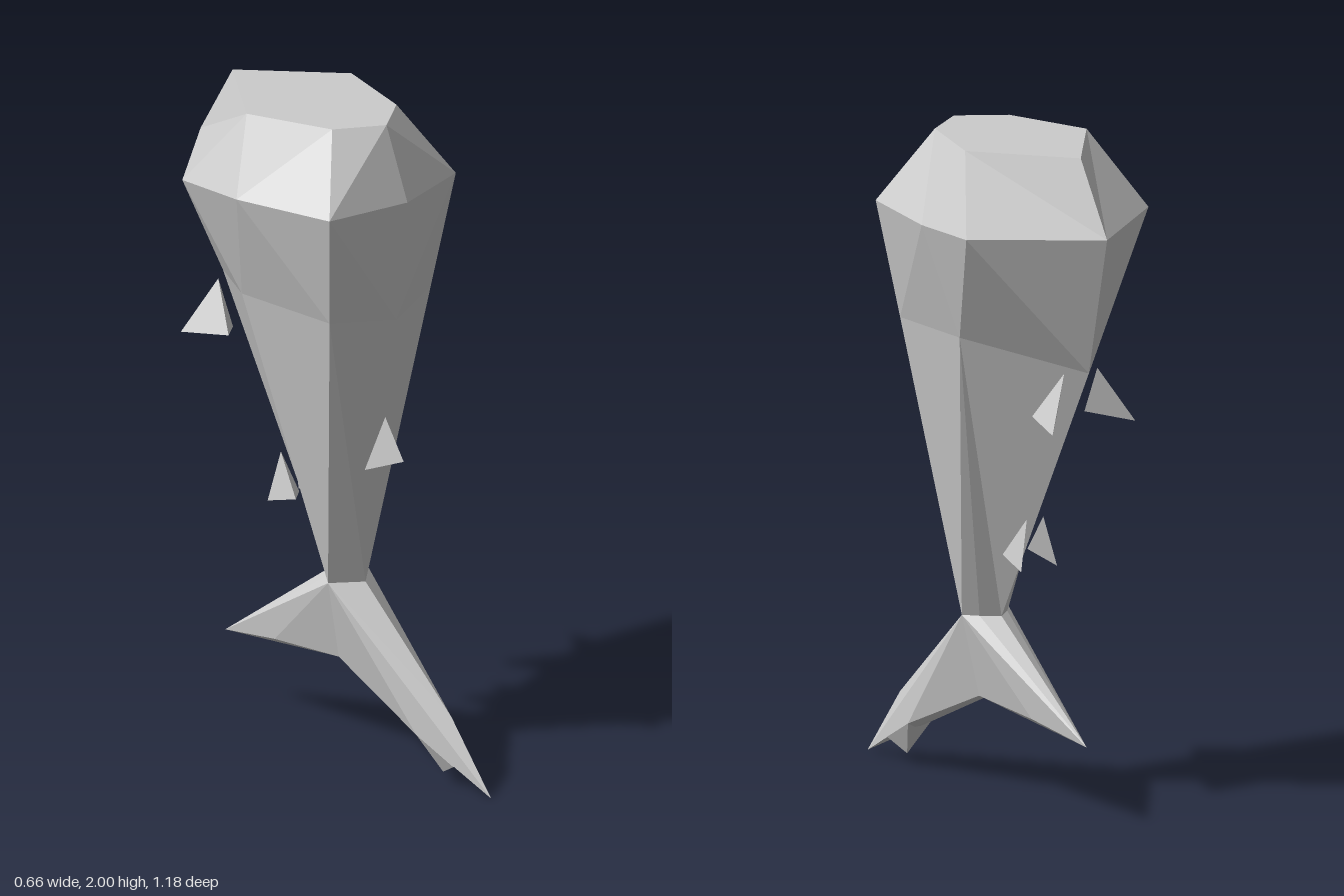
import * as THREE from 'three';
import { ConvexGeometry } from 'three/addons/geometries/ConvexGeometry.js';

const material = new THREE.MeshStandardMaterial({ color: 0xcccccc, flatShading: true, side: THREE.DoubleSide });

function addMesh(group, name, geometry) {
  const mesh = new THREE.Mesh(geometry, material);
  mesh.name = name;
  group.add(mesh);
}

// Faceted solid around a few corners; corners off the centre plane can be mirrored
function hull(points, mirror = false) {
  const all = [];
  for (const [x, y, z] of points) {
    all.push(new THREE.Vector3(x, y, z));
    if (mirror && x !== 0) all.push(new THREE.Vector3(-x, y, z));
  }
  return new ConvexGeometry(all);
}

// Half cross-sections, running from the front ridge round the side to the back ridge
const rings = [
  [[0, 2, 0.165], [0.135, 2, 0.075], [0.22, 2, -0.19], [0.22, 2, -0.19], [0, 2, -0.46]],
  [[0, 1.78, 0.25], [0.265, 1.78, 0.19], [0.33, 1.78, -0.125], [0.33, 1.78, -0.345], [0, 1.78, -0.59]],
  [[0, 1.4, 0.205], [0.213, 1.43, 0.14], [0.24, 1.44, -0.19], [0.24, 1.44, -0.19], [0, 1.36, -0.5]],
  [[0, 0.54, 0.08], [0.085, 0.54, 0.01], [0.05, 0.54, -0.03], [0.05, 0.54, -0.03], [0, 0.54, -0.07]],
];

function bodyGeometry() {
  const positions = [];
  const tri = (a, b, c) => {
    if (a === b || b === c || a === c) return;
    positions.push(...a, ...b, ...c);
    for (const [x, y, z] of [a, c, b]) positions.push(-x, y, z);
  };
  for (let i = 0; i < rings.length - 1; i++) {
    const up = rings[i], low = rings[i + 1];
    for (let j = 0; j < 4; j++) {
      if (i === 0 || j === 3) {
        tri(up[j], low[j], low[j + 1]);
        tri(up[j], low[j + 1], up[j + 1]);
      } else {
        tri(up[j], low[j], up[j + 1]);
        tri(up[j + 1], low[j], low[j + 1]);
      }
    }
  }
  // Flat cap on the head
  const top = rings[0];
  tri(top[0], top[1], top[2]);
  tri(top[0], top[2], top[4]);
  const geometry = new THREE.BufferGeometry();
  geometry.setAttribute('position', new THREE.Float32BufferAttribute(positions, 3));
  geometry.computeVertexNormals();
  return geometry;
}

export function createModel() {
  const model = new THREE.Group();
  model.name = 'fish';
  addMesh(model, 'body', bodyGeometry());

  // Tail: a long front lobe and a shorter back lobe
  addMesh(model, 'longTailLobe', hull([
    [0, 0.54, 0.08], [0.085, 0.54, 0.01], [0, 0.21, 0.43],
    [0.045, 0.14, 0.33], [0, 0, 0.59], [0.03, 0.29, 0],
  ], true));
  addMesh(model, 'shortTailLobe', hull([
    [0, 0.54, -0.07], [0.05, 0.54, -0.03], [0.085, 0.54, 0.01],
    [0, 0.23, -0.49], [0.03, 0.273, -0.26], [0.03, 0.29, 0],
  ], true));
  addMesh(model, 'tailSpur', hull([
    [0.025, 0.07, 0.46], [0.045, 0.14, 0.33], [0, 0.03, 0.395],
  ], true));

  // Fin on the ridge
  addMesh(model, 'dorsalFin', hull([
    [0, 1.08, 0.16], [0, 0.96, 0.235], [0.045, 0.915, 0.12],
  ], true));

  // Paired fins on the belly
  for (const [side, s] of [['left', 1], ['right', -1]]) {
    addMesh(model, side + 'PectoralFin', hull([
      [0.06 * s, 1.36, -0.46], [0.15 * s, 1.2, -0.525],
      [0.11 * s, 1.22, -0.37], [0.05 * s, 1.22, -0.41],
    ]));
    addMesh(model, side + 'PelvicFin', hull([
      [0.03 * s, 0.87, -0.235], [0.065 * s, 0.72, -0.255],
      [0.055 * s, 0.75, -0.15], [0.02 * s, 0.76, -0.17],
    ]));
  }
  return model;
}
